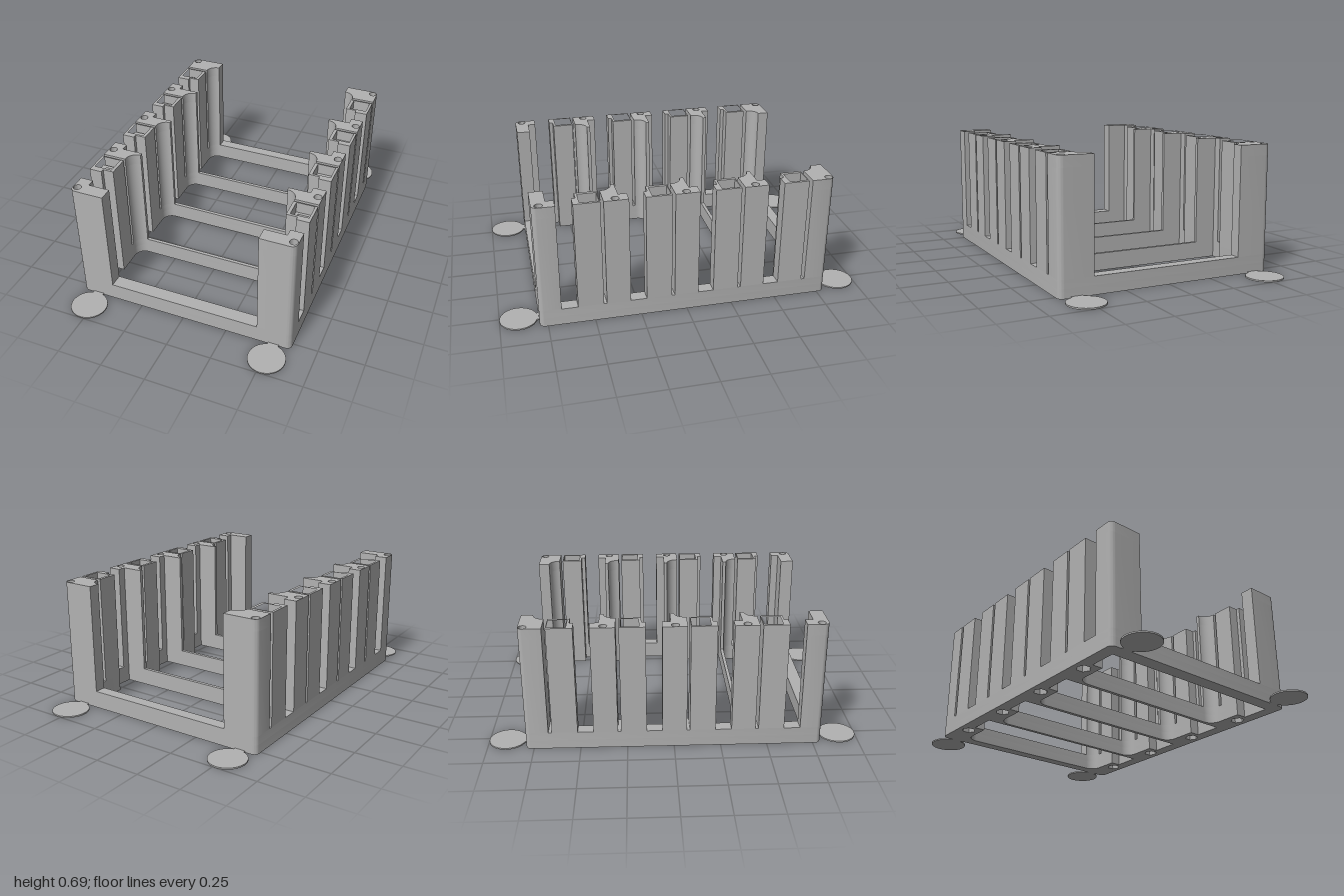
import * as THREE from 'three';
import { toCreasedNormals } from 'three/addons/utils/BufferGeometryUtils.js';

const OUT = 0.615, END = 0.793;           // outer half width and half length
const BASE = 0.095, TOP = 0.693;          // base height and post height
const WALL = 0.545, PAD = 0.485, LIP = 0.425, FIL = 0.06;
const BOLT_X = 0.552, PIN_X = 0.59;
// windows between crossbars: back edge, step where the socket pad ends, front edge
const BAYS = [
  [-0.73, -0.535, -0.385],
  [-0.365, -0.167, -0.017],
  [0.003, 0.2, 0.352],
  [0.371, 0.568, 0.718],
];
const boltZ = (bay) => bay[1] - 0.062;

// points on an arc (or a regular polygon) in the x,z plane
function arc(cx, cz, r, a0, a1, n = 8) {
  return Array.from({ length: n + 1 }, (_, i) => {
    const a = ((a0 + ((a1 - a0) * i) / n) * Math.PI) / 180;
    return [cx + r * Math.cos(a), cz + r * Math.sin(a)];
  });
}
const ring = (cx, cz, r, n = 24) => arc(cx, cz, r, 0, 360, n).slice(0, n);
const rect = (x0, x1, z0, z1) => [[x0, z0], [x1, z0], [x1, z1], [x0, z1]];
const flip = (pts, s) => pts.map(([x, z]) => [s * x, z]);
const vec = (pts) => pts.map(([x, z]) => new THREE.Vector2(x, z));

// vertical prism over an x,z outline, from y0 to y1
function prism(outline, holes, y0, y1) {
  const shape = new THREE.Shape(vec(outline));
  for (const h of holes) shape.holes.push(new THREE.Path(vec(h)));
  const g = new THREE.ExtrudeGeometry(shape, { depth: y1 - y0, bevelEnabled: false });
  g.rotateX(Math.PI / 2).translate(0, y1, 0);
  return toCreasedNormals(g, 0.6);
}

export function createModel() {
  const model = new THREE.Group();
  const plastic = new THREE.MeshStandardMaterial({ color: 0xb2b2b2 });
  plastic.name = 'grey plastic';

  function add(name, outline, holes, y0, y1, parent = model) {
    const mesh = new THREE.Mesh(prism(outline, holes, y0, y1), plastic);
    mesh.name = name;
    parent.add(mesh);
  }

  // base frame with four stepped windows; hex nut recesses below, bolt holes above
  const r = 0.03;
  const outline = [
    ...arc(OUT - r, END - r, r, 0, 90), ...arc(-OUT + r, END - r, r, 90, 180),
    ...arc(-OUT + r, -END + r, r, 180, 270), ...arc(OUT - r, -END + r, r, 270, 360),
  ];
  const windows = BAYS.map(([z0, zt, z1]) => {
    const half = [...arc(LIP, z0 + FIL, FIL, -90, 0), [PAD, zt], [WALL, zt], [WALL, z1]];
    return [...half, ...flip(half, -1).reverse()];
  });
  const bolts = (radius, n) => BAYS.flatMap((b) =>
    [1, -1].map((s) => ring(s * BOLT_X, boltZ(b), radius, n)));
  add('baseLower', outline, [...windows, ...bolts(0.038, 6)], 0, 0.05);
  add('baseUpper', outline, [...windows, ...bolts(0.024, 24)], 0.05, BASE);

  // a solid post whose top has a round blind hole
  function post(name, pts, pinZ, s, parent) {
    const pin = ring(s * PIN_X, pinZ, 0.021);
    add(name, flip(pts, s), [], BASE, TOP - 0.06, parent);
    add(name + 'Top', flip(pts, s), [pin], TOP - 0.06, TOP, parent);
  }

  for (const s of [1, -1]) {
    const side = new THREE.Group();
    side.name = s > 0 ? 'leftWall' : 'rightWall';
    model.add(side);

    // corner posts
    const zb = BAYS[0][0];
    post('backCornerPost', [
      [LIP, -END], ...arc(OUT - r, -END + r, r, -90, 0), [OUT, zb + FIL],
      ...arc(LIP, zb + FIL, FIL, 0, -90),
    ], -0.767, s, side);
    const zf = BAYS[3][2];
    post('frontCornerPost', [
      [OUT, zf - 0.042], ...arc(OUT - r, END - r, r, 0, 90), [LIP, END],
      [LIP, zf], [WALL, zf], [WALL, zf - 0.042],
    ], 0.755, s, side);

    // divider posts with a thin lip and a concave fillet
    for (let i = 1; i < 4; i++) {
      const z0 = BAYS[i - 1][2], z1 = BAYS[i][0];
      post('dividerPost', [
        [OUT, z0 - 0.045], [OUT, z1 + 0.065], [PAD, z1 + 0.065],
        ...arc(LIP, z1 + FIL, FIL, 0, -90), [LIP, z0], [WALL, z0], [WALL, z0 - 0.045],
      ], z1 + 0.003, s, side);
    }

    // socket posts: square shaft with a wider pocket at the top
    for (const bay of BAYS) {
      const zt = bay[1], c = boltZ(bay);
      const pts = flip([
        [PAD, zt - 0.116], [OUT, zt - 0.116], [OUT, zt + 0.021],
        [WALL, zt + 0.021], [WALL, zt], [PAD, zt],
      ], s);
      const square = (h) => flip(rect(BOLT_X - h, BOLT_X + h, c - h, c + h), s);
      add('socketPost', pts, [square(0.034)], BASE, TOP - 0.06, side);
      add('socketPocket', pts, [square(0.049)], TOP - 0.06, TOP, side);
    }

    // thin round feet tied to the frame by short necks
    for (const e of [1, -1]) {
      add('footDisc', ring(s * 0.52, e * 0.9, 0.1, 40), [], 0, 0.008);
      add('footNeck', flip(rect(0.49, 0.55, e * 0.785, e * 0.82), s), [], 0, 0.008);
    }
  }
  return model;
}
